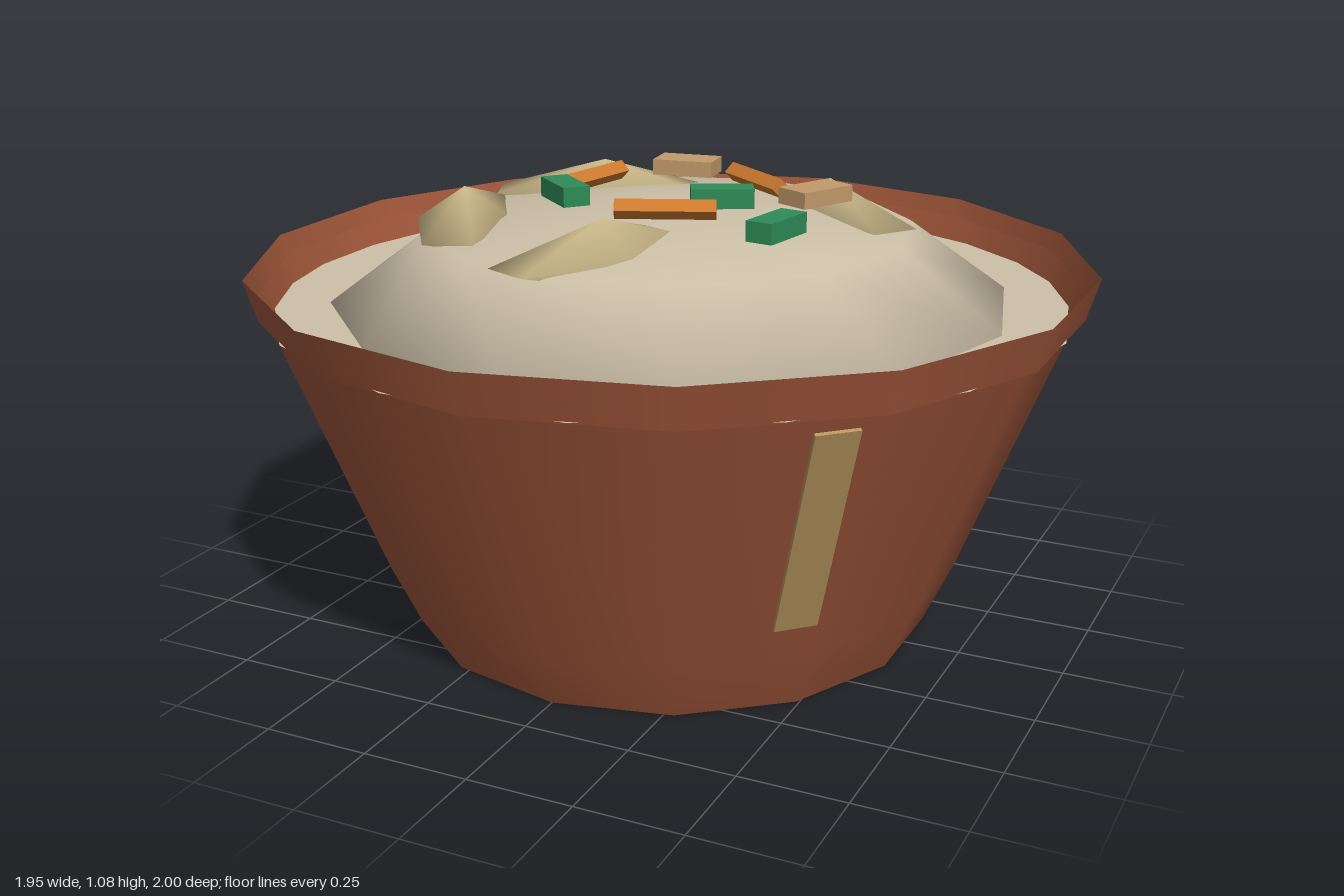
import * as THREE from 'three';

const material = (name, color, side = THREE.FrontSide) => {
  const m = new THREE.MeshStandardMaterial({ color, side });
  m.name = name;
  return m;
};

export function createModel() {
  const model = new THREE.Group();
  model.name = 'bowlOfSoup';

  const clay = material('clay brown', 0xa0563a, THREE.DoubleSide);
  const cream = material('cream', 0xcdc0a8, THREE.DoubleSide);
  const straw = material('straw', 0xd2bf8f);
  const tan = material('tan', 0xc19a6b);
  const orange = material('carrot orange', 0xcd7a2e);
  const green = material('leaf green', 0x2e8b57);
  const glaze = material('glaze tan', 0xb8965f);

  const add = (name, geometry, mat, x = 0, y = 0, z = 0, turn = 0, tilt = 0) => {
    const mesh = new THREE.Mesh(geometry, mat);
    mesh.name = name;
    mesh.position.set(x, y, z);
    mesh.rotation.set(tilt, turn, 0, 'YXZ');
    model.add(mesh);
    return mesh;
  };

  // Bowl: fourteen-sided open wall, flat base and flared rim band
  const SIDES = 14;
  const lathe = (...points) =>
    new THREE.LatheGeometry(points.map(p => new THREE.Vector2(...p)), SIDES);
  add('bowlWall', lathe([0.63, 0], [0.70, 0.15], [0.974, 0.845]), clay);
  add('bowlRim', lathe([0.97, 0.785], [1.0, 0.885]), clay);
  add('bowlBase', lathe([0, 0], [0.63, 0]), clay);

  // Soup surface, turned half a side against the bowl, and the mound on it
  add('soupSurface', lathe([0.954, 0], [0, 0]), cream, 0, 0.79, 0, Math.PI / SIDES);
  const mound = new THREE.SphereGeometry(0.81, 12, 2, 0, Math.PI * 2, 0, Math.PI / 2);
  add('soupMound', mound.scale(1, 0.3, 1), cream, 0, 0.79, 0);

  // Elongated six-sided shreds lying around the mound
  const shred = new THREE.SphereGeometry(1, 6, 2).scale(0.115, 0.078, 0.31);
  [
    [-0.45, 0.195, 0.395],
    [0, 0.36, -0.41],
    [0.30, -0.26, 0.967],
    [-0.30, -0.24, 1.97],
  ].forEach(([x, z, turn]) => add('shred', shred, straw, x, 0.973, z, turn));

  // Small toppings: position x, z and turn
  const scatter = (name, size, mat, y, tilt, places) => {
    const geometry = new THREE.BoxGeometry(...size);
    places.forEach(([x, z, turn]) => add(name, geometry, mat, x, y, z, turn, tilt));
  };
  scatter('tanCube', [0.15, 0.038, 0.09], tan, 1.05, 0,
    [[-0.08, -0.26, 0.13], [0.33, -0.08, 1.117]]);
  scatter('carrotStick', [0.23, 0.033, 0.033], orange, 1.048, Math.PI / 4,
    [[-0.23, -0.04, 1.39], [0.14, -0.18, -0.648], [0.08, 0.205, 0.39]]);
  scatter('greenSlice', [0.145, 0.046, 0.065], green, 1.053, 0,
    [[-0.205, 0.148, -0.7], [0.15, 0.048, 0.47], [0.377, 0.275, 1.41]]);

  // Glaze stripe leaning along the front left of the wall
  add('glazeStripe', new THREE.BoxGeometry(0.1, 0.533, 0.009), glaze,
    0.61, 0.51, 0.61, Math.PI / 4, 0.354);

  return model;
}
